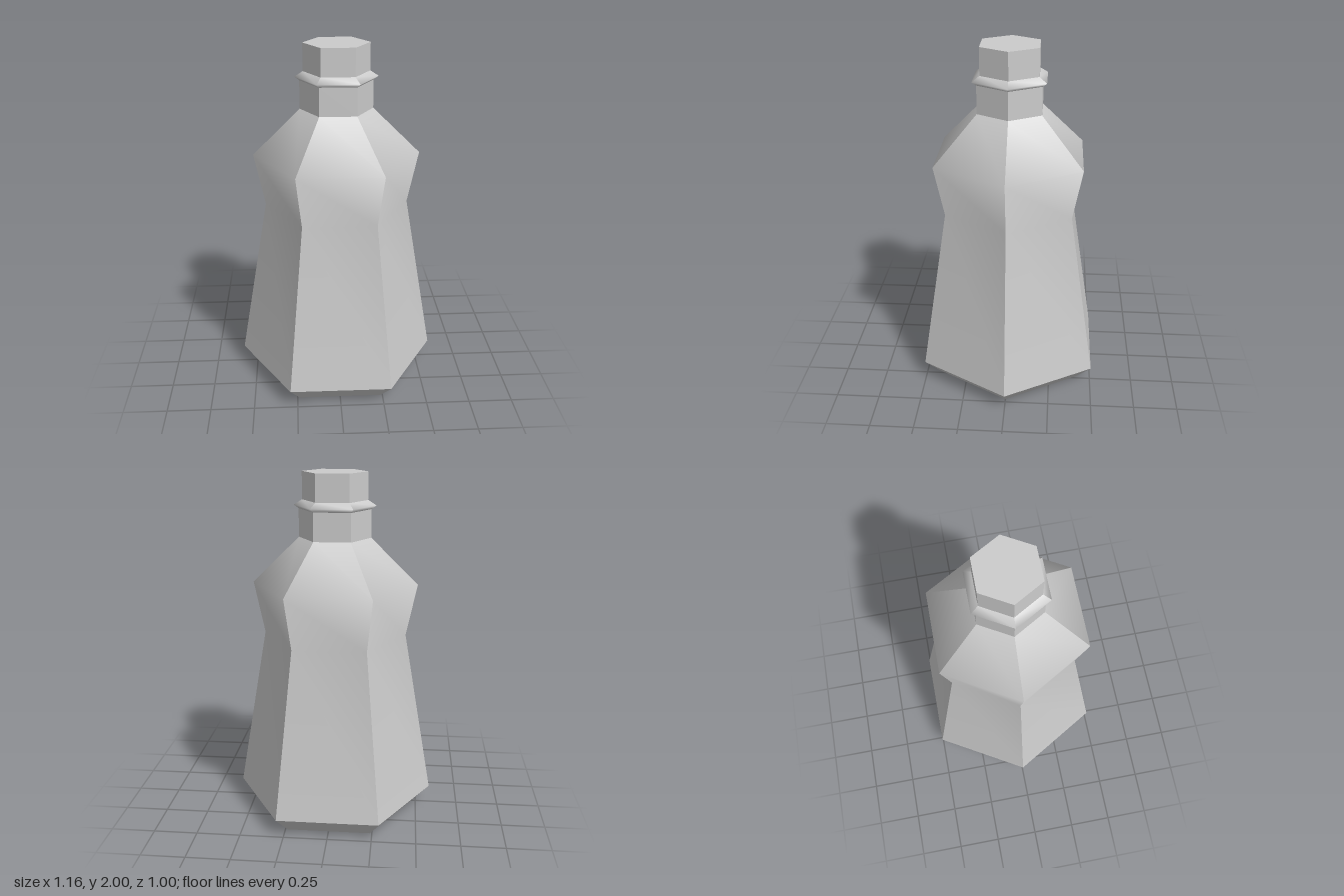
import * as THREE from 'three';
import { mergeGeometries } from 'three/addons/utils/BufferGeometryUtils.js';

const SIDES = 6;
const material = new THREE.MeshStandardMaterial({ color: 0xcccccc });

// Hexagonal shell from a [radius, height] profile: sharp between sides, smooth up each side
function hexShell(name, profile) {
  const points = profile.map(([r, y]) => new THREE.Vector2(r, y));
  const step = (Math.PI * 2) / SIDES;
  const strips = [];
  for (let i = 0; i < SIDES; i++) {
    const strip = new THREE.LatheGeometry(points, 1, (i + 0.5) * step, step);
    strip.computeVertexNormals();
    strips.push(strip);
  }
  const mesh = new THREE.Mesh(mergeGeometries(strips), material);
  mesh.name = name;
  return mesh;
}

// Flat hexagonal lid, facing up (dir = 1) or down (dir = -1)
function hexDisc(name, radius, y, dir) {
  const disc = new THREE.CircleGeometry(radius, SIDES);
  disc.rotateX((-dir * Math.PI) / 2).translate(0, y, 0);
  const mesh = new THREE.Mesh(disc, material);
  mesh.name = name;
  return mesh;
}

export function createModel() {
  const bottle = new THREE.Group();
  bottle.name = 'bottle';

  bottle.add(
    // Underside and chamfered foot
    hexDisc('underside', 0.475, 0, -1),
    hexShell('foot', [[0.475, 0], [0.58, 0.105]]),
    // Tapered body, pinched waist and sloping shoulder
    hexShell('body', [[0.58, 0.105], [0.412, 1.07], [0.474, 1.37], [0.205, 1.635]]),
    // Neck with its flared collar
    hexShell('neck', [[0.205, 1.635], [0.205, 1.795]]),
    hexShell('collar', [[0.205, 1.795], [0.232, 1.815], [0.185, 1.845]]),
    // Cap
    hexShell('cap', [[0.185, 1.845], [0.185, 2]]),
    hexDisc('capTop', 0.185, 2, 1)
  );
  return bottle;
}
